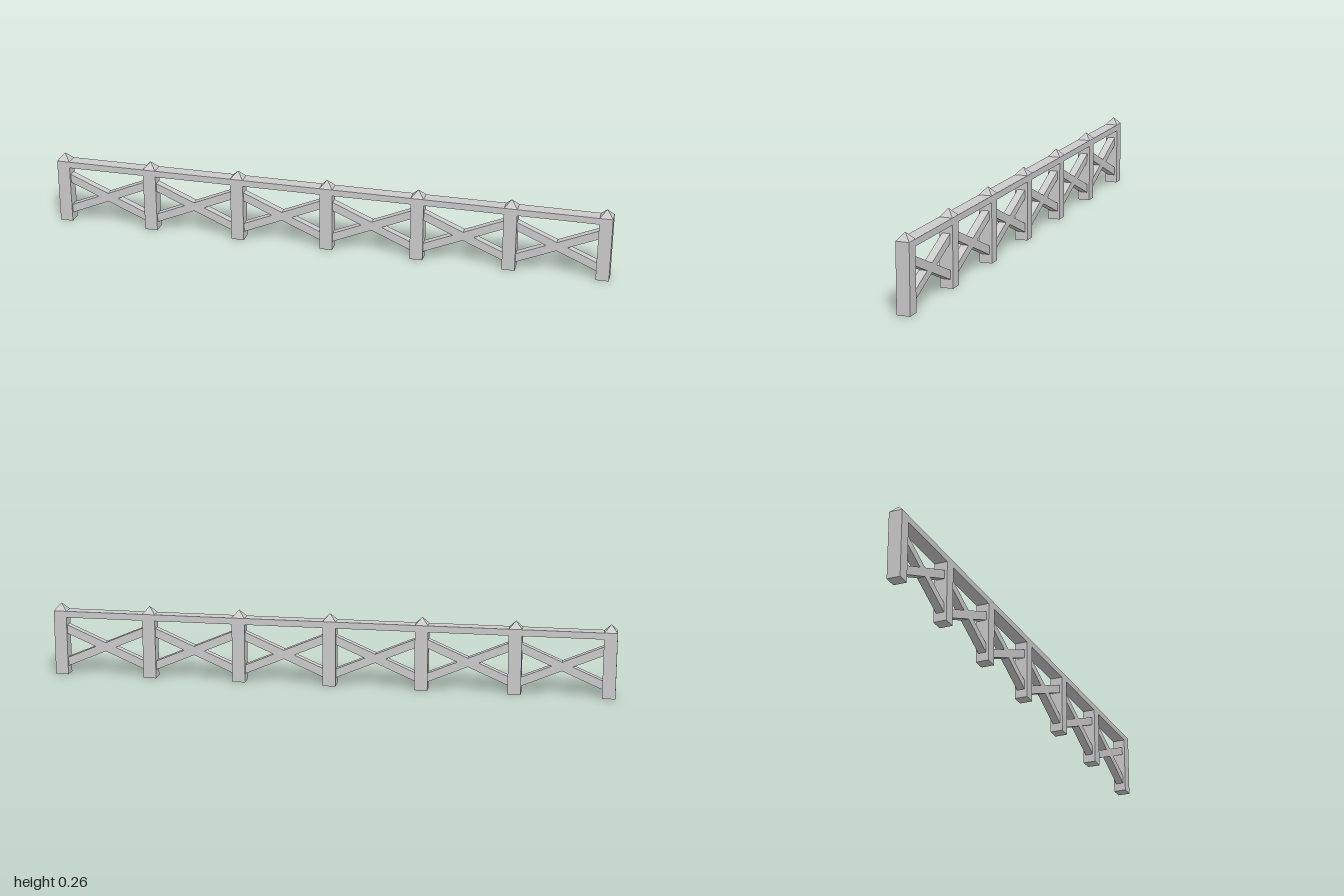
import * as THREE from 'three';

const POSTS = 7, POST_W = 0.046, POST_H = 0.234, CAP_H = 0.026;
const PITCH = (2 - POST_W) / (POSTS - 1);

export function createModel() {
  const group = new THREE.Group();
  group.name = 'fence';
  const material = new THREE.MeshStandardMaterial({ color: 0xcccccc, flatShading: true });

  const add = (name, geometry, x, y, tilt = 0) => {
    const mesh = new THREE.Mesh(geometry, material);
    mesh.name = name;
    mesh.position.set(x, y, 0);
    mesh.rotation.z = tilt;
    group.add(mesh);
  };

  // Square posts with pyramid caps
  const post = new THREE.BoxGeometry(POST_W, POST_H, POST_W);
  const cap = new THREE.ConeGeometry(POST_W / Math.SQRT2, CAP_H, 4, 1, true).rotateY(Math.PI / 4);
  for (let i = 0; i < POSTS; i++) {
    const x = -1 + POST_W / 2 + i * PITCH;
    add('post', post, x, POST_H / 2);
    add('postCap', cap, x, POST_H + CAP_H / 2);
  }

  // Top rail, flush with the posts
  const railH = 0.023;
  add('topRail', new THREE.BoxGeometry(2, railH, POST_W), 0, POST_H - railH / 2);

  // Crossed braces between neighbouring posts, ends buried in the posts
  const angle = Math.atan2(0.12, PITCH - POST_W);
  const brace = new THREE.BoxGeometry((PITCH - 0.02) / Math.cos(angle), 0.029, 0.028);
  for (let i = 0; i < POSTS - 1; i++) {
    const x = -1 + POST_W / 2 + (i + 0.5) * PITCH;
    for (const side of [-1, 1]) add('crossBrace', brace, x, 0.106, side * angle);
  }

  return group;
}
